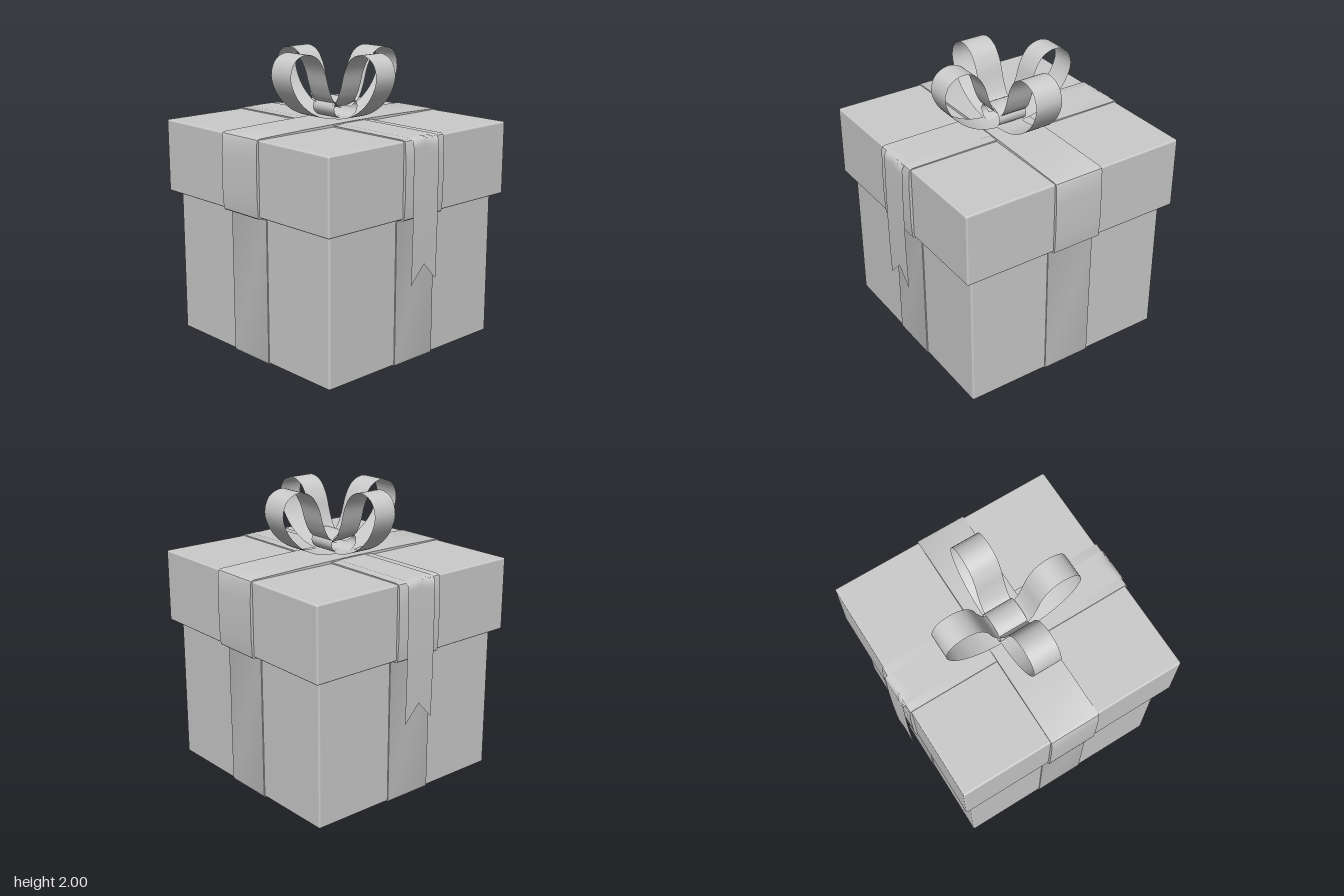
import * as THREE from 'three';
import { RoundedBoxGeometry } from 'three/addons/geometries/RoundedBoxGeometry.js';
import { toCreasedNormals } from 'three/addons/utils/BufferGeometryUtils.js';

const grey = new THREE.MeshStandardMaterial({ color: 0xcccccc });
const cloth = new THREE.MeshStandardMaterial({ color: 0xcccccc, side: THREE.DoubleSide });

const toCurve = (pts) => new THREE.CatmullRomCurve3(pts.map(([x, y]) => new THREE.Vector3(x, y, 0)));

// Thin strip that follows a path in the xy plane; its width runs along z.
// notch cuts a V of that depth into the far end.
function strip(curve, width, steps, notch = 0) {
  const geo = new THREE.PlaneGeometry(1, 1, 4, steps);
  const pos = geo.attributes.position;
  const length = curve.getLength();
  for (let i = 0; i < pos.count; i++) {
    const across = pos.getX(i);
    const reach = 1 - (notch / length) * (1 - 2 * Math.abs(across));
    const p = curve.getPointAt((0.5 - pos.getY(i)) * reach);
    pos.setXYZ(i, p.x, p.y, across * width);
  }
  geo.computeVertexNormals();
  return geo;
}

// Ribbon band wrapped round the box and lid, as a slab just proud of both
function bandGeometry(bottom, top) {
  const half = [
    [0.735, 0.012], [0.752, 0.018], [0.757, 0.035], [0.757, 0.985], [0.762, 1.002], [0.775, 1.008],
    [0.81, 1.01], [0.82, 1.018], [0.823, 1.04], [0.829, 1.15], [0.829, 1.38],
    [0.823, 1.505], [0.817, 1.52], [0.8, 1.527], [0.4, 1.527 + (top - 1.527) * 0.7],
  ];
  const outline = [[0, bottom], ...half, [0, top], ...half.map(([x, y]) => [-x, y]).reverse()];
  const shape = new THREE.Shape(outline.map(([x, y]) => new THREE.Vector2(x, y)));
  const geo = new THREE.ExtrudeGeometry(shape, { depth: 0.352, bevelEnabled: false });
  geo.translate(0, 0, -0.176);
  return toCreasedNormals(geo, 0.7);
}

export function createModel() {
  const model = new THREE.Group();
  model.name = 'giftBox';
  const add = (name, geo, material, x = 0, y = 0, z = 0, turn = 0) => {
    const mesh = new THREE.Mesh(geo, material);
    mesh.name = name;
    mesh.position.set(x, y, z);
    mesh.rotation.y = turn;
    model.add(mesh);
    return mesh;
  };

  // Box and overhanging lid
  add('box', new RoundedBoxGeometry(1.5, 1.02, 1.5, 2, 0.012), grey, 0, 0.53, 0);
  add('lid', new RoundedBoxGeometry(1.62, 0.5, 1.62, 2, 0.012), grey, 0, 1.27, 0);

  // Crossing bands
  add('sideBand', bandGeometry(0.01, 1.529), grey, 0, 0, 0.003);
  add('frontBand', bandGeometry(0, 1.54), grey, -0.003, 0, 0, Math.PI / 2);

  // Four bow loops
  const loop = toCurve([
    [0.02, 1.552], [0.12, 1.555], [0.22, 1.575], [0.34, 1.635], [0.44, 1.735], [0.487, 1.86],
    [0.45, 1.96], [0.355, 1.999], [0.26, 1.968], [0.2, 1.885], [0.155, 1.75], [0.11, 1.665], [0.04, 1.62],
  ]);
  const loopGeo = {
    side: strip(loop, 0.175, 64),
    end: strip(loop, 0.195, 64),
  };
  add('leftLoop', loopGeo.side, cloth, 0, 0, 0.013, 0);
  add('rightLoop', loopGeo.side, cloth, 0, 0, 0.013, Math.PI);
  add('backLoop', loopGeo.end, cloth, 0, 0, -0.012, Math.PI / 2);
  add('frontLoop', loopGeo.end, cloth, 0, 0, -0.012, -Math.PI / 2);

  // Open ring of ribbon as the knot
  const knot = new THREE.CylinderGeometry(0.107, 0.107, 0.21, 40, 1, true);
  knot.rotateZ(Math.PI / 2);
  knot.scale(1, 0.67, 1);
  add('knot', knot, cloth, 0, 1.618, 0);

  // Notched tails lying over the lid and hanging down both sides
  const tailPath = new THREE.CurvePath();
  const v = (x, y) => new THREE.Vector3(x, y, 0);
  tailPath.add(new THREE.LineCurve3(v(0.03, 1.534), v(0.79, 1.531)));
  tailPath.add(new THREE.QuadraticBezierCurve3(v(0.79, 1.531), v(0.835, 1.53), v(0.837, 1.485)));
  tailPath.add(new THREE.QuadraticBezierCurve3(v(0.837, 1.485), v(0.85, 1.1), v(0.836, 0.575)));
  const tail = strip(tailPath, 0.23, 80, 0.125);
  add('leftTail', tail, cloth, 0, 0, 0.005, 0);
  add('rightTail', tail, cloth, 0, 0, 0.005, Math.PI);

  return model;
}
